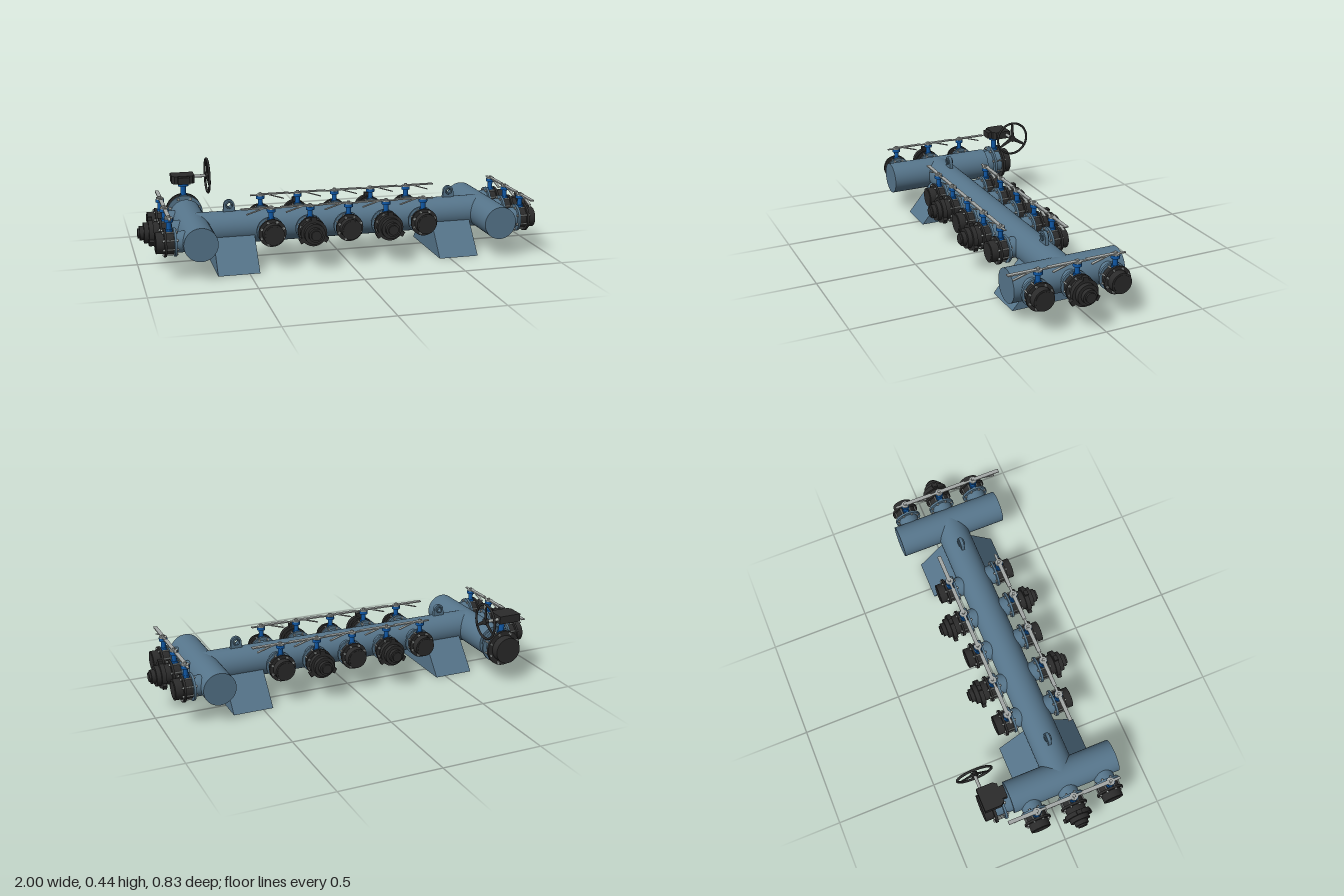
import * as THREE from 'three';

const material = (name, color) => {
  const m = new THREE.MeshStandardMaterial({ color });
  m.name = name;
  return m;
};
const steel = material('steel blue paint', 0x56758b);
const blue = material('valve blue', 0x0f58a6);
const black = material('black iron', 0x2b2b2b);
const grey = material('bare metal', 0xa3a8a6);

const AXIS_Y = 0.18, PIPE_R = 0.08, MID_Z = 0.08, HEADER_X = 0.735, STEP = 0.19;

function add(parent, name, geometry, mat, x = 0, y = 0, z = 0) {
  const mesh = new THREE.Mesh(geometry, mat);
  mesh.name = name;
  mesh.position.set(x, y, z);
  parent.add(mesh);
  return mesh;
}

// Cylinder lying along z between z0 and z1
function disc(parent, name, r, z0, z1, mat, x = 0, y = 0, sides = 32) {
  const g = new THREE.CylinderGeometry(r, r, z1 - z0, sides).rotateX(Math.PI / 2);
  return add(parent, name, g, mat, x, y, (z0 + z1) / 2);
}

// Upright cylinder between y0 and y1
function post(parent, name, r, y0, y1, mat, z, sides = 20) {
  return add(parent, name, new THREE.CylinderGeometry(r, r, y1 - y0, sides), mat, 0, (y0 + y1) / 2, z);
}

// Ring of bolts with a nut at each end
function boltCircle(parent, count, ring, r, z0, z1) {
  for (let i = 0; i < count; i++) {
    const a = ((i + 0.5) / count) * Math.PI * 2;
    const x = Math.cos(a) * ring, y = Math.sin(a) * ring;
    disc(parent, 'bolt', r * 0.7, z0, z1, grey, x, y, 8);
    disc(parent, 'nut', r * 1.2, z0 + 0.002, z0 + 0.008, grey, x, y, 6);
    disc(parent, 'nut', r * 1.2, z1 - 0.008, z1 - 0.002, grey, x, y, 6);
  }
}

// Lever with squeeze trigger, pointing along -x
function lever(parent, z) {
  const g = new THREE.Group();
  g.name = 'lever';
  g.position.set(0, 0.116, z);
  parent.add(g);
  add(g, 'hub', new THREE.CylinderGeometry(0.019, 0.019, 0.007, 20), grey);
  add(g, 'stemNut', new THREE.CylinderGeometry(0.008, 0.008, 0.012, 6), grey, 0, 0.006);
  add(g, 'leverBar', new THREE.BoxGeometry(0.145, 0.006, 0.019), grey, -0.0725, 0.003);
  add(g, 'latch', new THREE.BoxGeometry(0.05, 0.005, 0.012), grey, 0.025, 0);
  const trigger = add(g, 'trigger', new THREE.BoxGeometry(0.085, 0.004, 0.013), grey, -0.078, -0.012);
  trigger.rotation.z = 0.3;
}

// Three-lug blind cap
function blindCap(parent) {
  disc(parent, 'couplingRing', 0.064, 0.192, 0.214, black);
  for (let i = 0; i < 3; i++) {
    const a = Math.PI / 2 + (i * Math.PI * 2) / 3;
    const ear = add(parent, 'couplingEar', new THREE.BoxGeometry(0.022, 0.026, 0.02), black,
      Math.cos(a) * 0.067, Math.sin(a) * 0.067, 0.205);
    ear.rotation.z = a;
  }
  disc(parent, 'capBody', 0.05, 0.214, 0.236, black);
  disc(parent, 'capRim', 0.034, 0.236, 0.256, black);
  disc(parent, 'capKnob', 0.024, 0.256, 0.265, black);
}

// Outlet facing local +z, measured from the pipe axis
function outlet(parent, x, z, turn, capped) {
  const g = new THREE.Group();
  g.name = capped ? 'cappedOutlet' : 'openOutlet';
  g.position.set(x, AXIS_Y, z);
  g.rotation.y = turn;
  parent.add(g);
  disc(g, 'stub', 0.05, 0.03, 0.11, steel);
  disc(g, 'pipeFlange', 0.067, 0.106, 0.117, steel);
  disc(g, 'valveBody', 0.054, 0.117, 0.152, black);
  disc(g, 'outerFlange', 0.067, 0.152, 0.163, black);
  disc(g, 'socket', 0.05, 0.163, 0.2, black);
  disc(g, 'socketPlug', 0.042, 0.198, 0.202, black);
  boltCircle(g, 8, 0.057, 0.005, 0.098, 0.171);
  post(g, 'valveNeck', 0.012, 0.045, 0.105, blue, 0.135);
  post(g, 'neckFoot', 0.017, 0.045, 0.064, blue, 0.135);
  post(g, 'neckPlate', 0.021, 0.098, 0.113, blue, 0.135);
  lever(g, 0.135);
  if (capped) blindCap(g);
}

// Large geared inlet valve facing local +z
function inlet(parent) {
  const g = new THREE.Group();
  g.name = 'inletValve';
  g.position.set(-HEADER_X, AXIS_Y, 0);
  g.rotation.y = Math.PI;
  parent.add(g);
  disc(g, 'inletNeck', 0.067, 0.18, 0.24, steel, 0, 0, 40);
  disc(g, 'pipeFlange', 0.091, 0.235, 0.247, steel, 0, 0, 40);
  disc(g, 'valveBody', 0.07, 0.247, 0.284, steel, 0, 0, 40);
  disc(g, 'outerFlange', 0.091, 0.284, 0.297, black, 0, 0, 40);
  disc(g, 'socket', 0.067, 0.297, 0.34, black, 0, 0, 40);
  boltCircle(g, 8, 0.08, 0.006, 0.225, 0.305);
  post(g, 'valveNeck', 0.014, 0.06, 0.15, blue, 0.265);
  post(g, 'neckFoot', 0.02, 0.06, 0.085, blue, 0.265);
  post(g, 'neckPlate', 0.027, 0.136, 0.15, blue, 0.265);

  // Gearbox with chamfered corners, seen from above as (x, z)
  const s = new THREE.Shape([[-0.045, 0.24], [0.045, 0.24], [0.058, 0.258], [0.058, 0.34],
    [-0.058, 0.34], [-0.058, 0.258]].map(p => new THREE.Vector2(p[0], -p[1])));
  const box = new THREE.ExtrudeGeometry(s, { depth: 0.04, bevelEnabled: false }).rotateX(-Math.PI / 2);
  add(g, 'gearbox', box, black, 0, 0.15, 0);
  add(g, 'gearboxNose', new THREE.BoxGeometry(0.06, 0.034, 0.03), black, 0, 0.17, 0.231);

  // Handwheel in the plane facing sideways
  const w = new THREE.Group();
  w.name = 'handwheel';
  w.position.set(-0.13, 0.17, 0.319);
  w.rotation.y = -Math.PI / 2;
  g.add(w);
  add(w, 'wheelRim', new THREE.TorusGeometry(0.087, 0.006, 10, 40), black);
  disc(w, 'wheelHub', 0.017, -0.01, 0.008, black);
  disc(w, 'wheelShaft', 0.008, -0.08, 0.002, grey);
  for (let i = 0; i < 3; i++) {
    const spoke = new THREE.CylinderGeometry(0.006, 0.012, 0.086, 10);
    spoke.translate(0, 0.043, 0).scale(1, 1, 0.5).rotateZ((i * Math.PI * 2) / 3);
    add(w, 'wheelSpoke', spoke, black);
  }
}

// Lifting eye on top of the main pipe
function liftingEye(parent, x) {
  const s = new THREE.Shape();
  s.moveTo(-0.03, -0.035);
  s.lineTo(0.03, -0.035);
  s.lineTo(0.026, 0);
  s.absarc(0, 0, 0.026, 0, Math.PI);
  s.closePath();
  const hole = new THREE.Path();
  hole.absarc(0, 0, 0.011, 0, Math.PI * 2, true);
  s.holes.push(hole);
  const g = new THREE.ExtrudeGeometry(s, { depth: 0.016, bevelEnabled: false, curveSegments: 16 });
  add(parent, 'liftingEye', g.translate(0, 0, -0.008), steel, x, 0.292, MID_Z);
  for (const side of [-1, 1]) {
    add(parent, 'eyeRing', new THREE.TorusGeometry(0.014, 0.004, 8, 20), steel, x, 0.292, MID_Z + side * 0.012);
  }
}

export function createModel() {
  const model = new THREE.Group();
  model.name = 'pipeManifold';

  // Main pipe and cross headers
  const main = new THREE.CylinderGeometry(PIPE_R, PIPE_R, HEADER_X * 2, 48).rotateZ(Math.PI / 2);
  add(model, 'mainPipe', main, steel, 0, AXIS_Y, MID_Z);
  for (const side of [-1, 1]) {
    disc(model, 'headerPipe', PIPE_R, -0.197, 0.355, steel, side * HEADER_X, AXIS_Y, 48);

    // Tapered saddle support
    const s = new THREE.Shape([[-0.204, 0], [0.204, 0], [0.052, 0.18], [-0.052, 0.18]]
      .map(p => new THREE.Vector2(p[0], p[1])));
    const saddle = new THREE.ExtrudeGeometry(s, { depth: 0.2, bevelEnabled: false });
    saddle.translate(0, 0, -0.1).rotateY(Math.PI / 2);
    add(model, 'support', saddle, steel, side * 0.55, 0, MID_Z);

    liftingEye(model, side * 0.56);

    // Three outlets on each header end
    for (let i = -1; i <= 1; i++) {
      outlet(model, side * HEADER_X, MID_Z + i * STEP, side * Math.PI / 2, i === 0);
    }
  }

  // Five outlets along the front and back
  for (const turn of [0, Math.PI]) {
    for (let i = -2; i <= 2; i++) outlet(model, i * STEP, MID_Z, turn, Math.abs(i) === 1);
  }

  inlet(model);
  return model;
}
